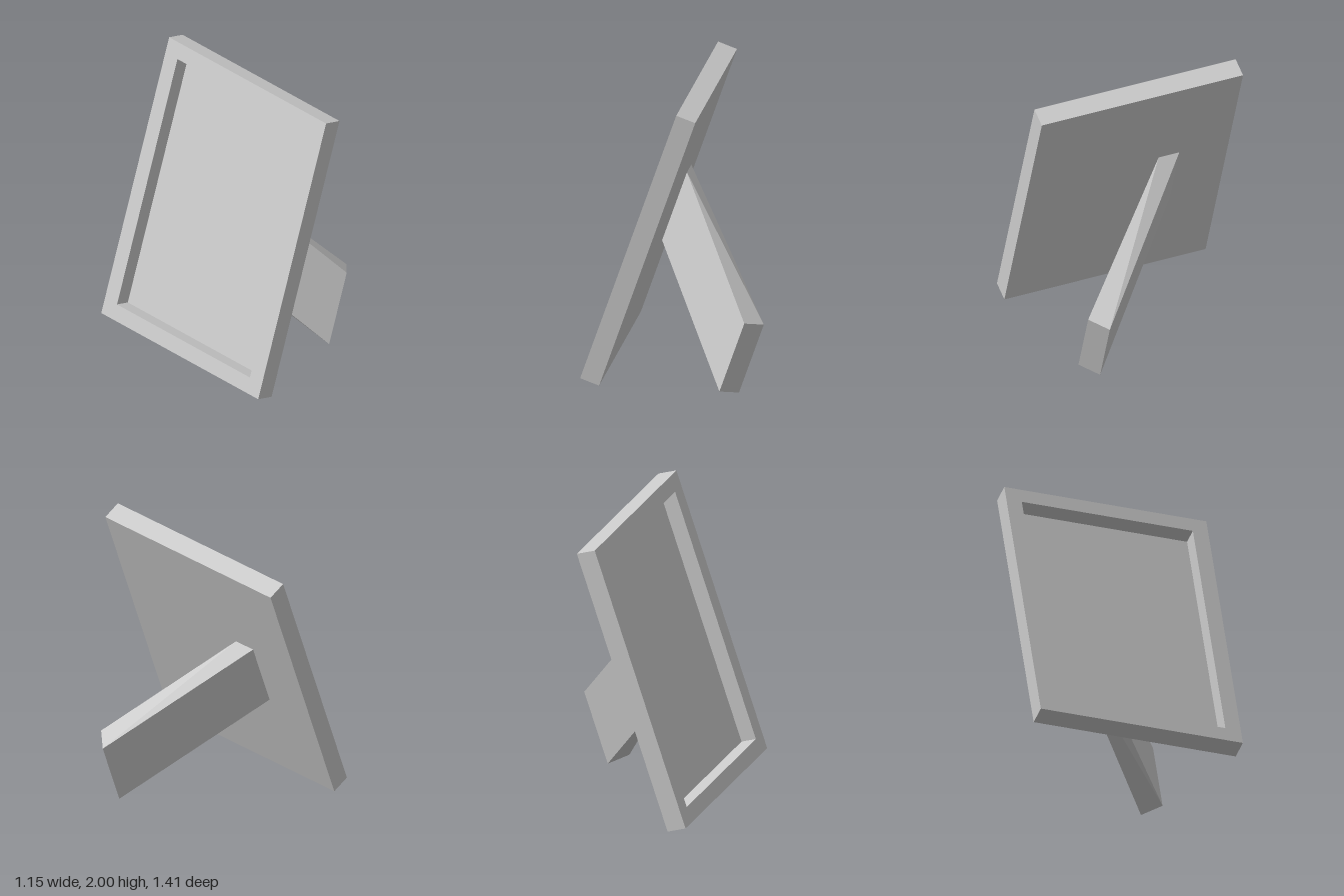
import * as THREE from 'three';

const HEIGHT = 1.96, WIDTH = 1.408, THICK = 0.132, RECESS = 0.106, BORDER = 0.108;
const LEAN = THREE.MathUtils.degToRad(18.85);

const rect = (Type, w, y0, y1) => {
  const p = new Type();
  p.moveTo(-w / 2, y0).lineTo(w / 2, y0).lineTo(w / 2, y1).lineTo(-w / 2, y1).closePath();
  return p;
};

// Bar with tapered plan: the corners of a box are moved onto four edge points,
// each swept down by the same vector.
function sweptBar(near, far, drop) {
  const geo = new THREE.BoxGeometry(1, 1, 1);
  const pos = geo.attributes.position;
  const p = new THREE.Vector3();
  for (let i = 0; i < pos.count; i++) {
    const end = pos.getX(i) > 0 ? far : near;
    p.copy(pos.getZ(i) > 0 ? end[0] : end[1]);
    if (pos.getY(i) < 0) p.add(drop);
    pos.setXYZ(i, p.x, p.y, p.z);
  }
  const flat = geo.toNonIndexed();
  flat.computeVertexNormals();
  return flat;
}

export function createModel() {
  const model = new THREE.Group();
  model.name = 'pictureFrame';
  const material = new THREE.MeshStandardMaterial({ color: 0xcccccc, flatShading: true });
  const add = (parent, name, geo) => {
    const mesh = new THREE.Mesh(geo, material);
    mesh.name = name;
    parent.add(mesh);
    return mesh;
  };

  // Leaning panel: recessed face towards -x, origin at its lower edge
  const panel = new THREE.Group();
  panel.name = 'panel';
  panel.position.set(-0.576, 0.145, 0);
  panel.rotation.z = -LEAN;
  model.add(panel);

  // Raised border around the recess
  const border = rect(THREE.Shape, WIDTH, 0, HEIGHT);
  border.holes.push(rect(THREE.Path, WIDTH - 2 * BORDER, BORDER, HEIGHT - BORDER));
  const borderGeo = new THREE.ExtrudeGeometry(border, { depth: RECESS, bevelEnabled: false });
  borderGeo.rotateY(-Math.PI / 2).translate(RECESS, 0, 0);
  add(panel, 'border', borderGeo);

  // Backing board forming the recess floor
  const board = add(panel, 'backingBoard', new THREE.BoxGeometry(THICK - RECESS, HEIGHT, WIDTH));
  board.position.set((THICK + RECESS) / 2, HEIGHT / 2, 0);

  // Prop leg running diagonally from the board to the ground
  const v = (x, y, z) => new THREE.Vector3(x, y, z);
  add(model, 'propLeg', sweptBar(
    [v(-0.051, 1.27, -0.21), v(-0.051, 1.27, -0.355)],
    [v(0.465, 0.52, 0.497), v(0.573, 0.482, 0.39)],
    v(-0.164, -0.48, 0)
  ));

  return model;
}
